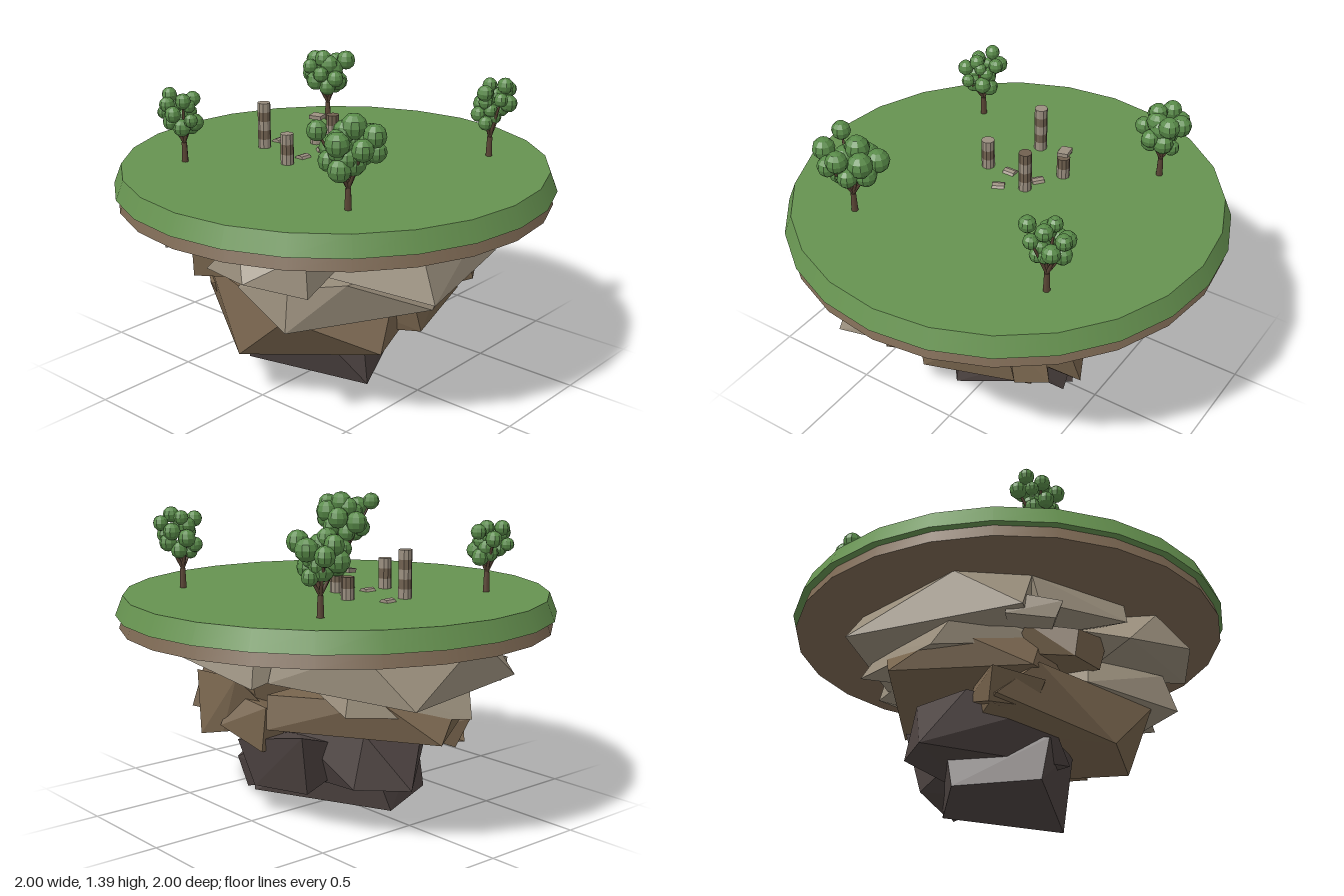
import * as THREE from 'three';
import { ConvexGeometry } from 'three/addons/geometries/ConvexGeometry.js';

const mat = (name, color, flat = false) => {
  const m = new THREE.MeshStandardMaterial({ color, flatShading: flat });
  m.name = name;
  return m;
};

export function createModel() {
  const model = new THREE.Group();
  model.name = 'floatingIsland';
  const grass = mat('grass', 0x669250), dirt = mat('dirt', 0x7c6853);
  const paleRock = mat('paleRock', 0x978c7a, true), brownRock = mat('brownRock', 0x77644d, true);
  const darkRock = mat('darkRock', 0x4d4341, true);
  const bark = mat('bark', 0x5a4535), leaf = mat('leaf', 0x588a48, true);
  const paleStone = mat('paleStone', 0x9b8f80, true), darkStone = mat('darkStone', 0x70604f, true);

  let seed = 11;
  const rand = () => (seed = (seed * 16807) % 2147483647) / 2147483647;
  const add = (parent, name, geo, material, x = 0, y = 0, z = 0) => {
    const m = new THREE.Mesh(geo, material);
    m.name = name;
    m.position.set(x, y, z);
    parent.add(m);
    return m;
  };
  const group = (name) => {
    const g = new THREE.Group();
    g.name = name;
    model.add(g);
    return g;
  };

  // Ground: grass plate over a thinner earth plate
  add(model, 'grassPlate', new THREE.CylinderGeometry(0.965, 1, 0.088, 24), grass, 0, 0.956, 0);
  add(model, 'earthPlate', new THREE.CylinderGeometry(0.965, 0.985, 0.06, 24), dirt, 0, 0.882, 0);

  // Rock slabs: convex hulls of a few corners
  const rocks = group('rocks');
  const slab = (name, material, ...corners) =>
    add(rocks, name, new ConvexGeometry(corners.map((c) => new THREE.Vector3(...c))), material);

  slab('leftPaleSlab', paleRock, [-0.71, 0.855, 0.2], [-0.82, 0.635, -0.28], [-0.6, 0.855, -0.38], [-0.65, 0.64, 0.5],
    [-0.5, 0.855, 0.45], [-0.2, 0.855, -0.5], [-0.2, 0.68, -0.55], [0, 0.74, 0.2]);
  slab('rightPaleSlab', paleRock, [0.73, 0.83, 0.3], [0.825, 0.625, 0.33], [0.66, 0.855, -0.3], [0.72, 0.67, -0.25],
    [0.2, 0.855, 0.45], [0.3, 0.68, 0.5], [0.1, 0.855, -0.3], [0.1, 0.68, -0.3]);
  slab('frontPaleSlab', paleRock, [0.1, 0.85, 0.72], [0.42, 0.84, 0.66], [0.45, 0.66, 0.68], [-0.12, 0.65, 0.7],
    [0.22, 0.705, 0.82], [-0.15, 0.855, 0.2], [0.4, 0.855, 0.1], [0.1, 0.64, 0.3]);
  slab('frontLeftPaleSlab', paleRock, [-0.5, 0.855, 0.45], [-0.52, 0.7, 0.5], [-0.05, 0.855, 0.64], [-0.1, 0.74, 0.68],
    [-0.3, 0.7, 0.2], [0, 0.84, 0.2]);
  slab('backPaleSlab', paleRock, [-0.15, 0.855, -0.58], [-0.18, 0.66, -0.62], [0.15, 0.76, -0.74], [0.2, 0.855, -0.62],
    [0.66, 0.72, -0.42], [0.6, 0.855, -0.35], [-0.3, 0.855, 0.1], [0.4, 0.855, 0.1], [0.1, 0.66, -0.2]);
  slab('lowerRightPaleSlab', paleRock, [-0.05, 0.65, 0.45], [0.3, 0.65, 0.64], [0.46, 0.65, 0.45], [0.63, 0.465, 0.08],
    [-0.14, 0.49, 0.5], [0.33, 0.475, 0.69], [0.55, 0.66, -0.2], [0.45, 0.51, -0.42], [0, 0.68, -0.1]);
  slab('lowerLeftPaleSlab', paleRock, [-0.64, 0.74, 0.2], [-0.75, 0.52, 0.12], [-0.5, 0.72, -0.35], [-0.55, 0.58, -0.42],
    [-0.3, 0.72, 0.4], [-0.35, 0.62, 0.4], [0, 0.7, -0.3]);

  slab('leftBrownSlab', brownRock, [-0.66, 0.62, 0.15], [-0.77, 0.445, -0.08], [-0.58, 0.62, -0.25], [-0.12, 0.45, -0.5],
    [-0.1, 0.6, -0.48], [-0.35, 0.64, 0.4], [-0.45, 0.47, 0.42], [-0.14, 0.5, 0.4], [0, 0.6, 0.1]);
  slab('frontBrownSlab', brownRock, [-0.4, 0.5, 0.42], [-0.54, 0.34, 0.3], [-0.06, 0.215, 0.58], [0.25, 0.48, 0.6],
    [0.54, 0.31, 0.32], [0.5, 0.5, 0.2], [0.4, 0.32, -0.05], [-0.3, 0.5, -0.05], [-0.3, 0.32, 0]);
  slab('rightBrownSlab', brownRock, [0.55, 0.52, 0.12], [0.57, 0.345, 0.08], [0.48, 0.64, -0.3], [0.42, 0.36, -0.4],
    [0.1, 0.66, -0.42], [0.1, 0.36, -0.36], [0, 0.5, 0.3], [0.1, 0.28, 0.2]);
  slab('backBrownSlab', brownRock, [0.1, 0.64, -0.5], [0.18, 0.38, -0.52], [0.36, 0.64, -0.53], [0.28, 0.36, -0.57],
    [0.42, 0.5, -0.3], [0, 0.4, -0.3], [0.3, 0.35, -0.1]);

  slab('leftDarkSlab', darkRock, [-0.47, 0.43, 0.1], [-0.575, 0.19, -0.06], [-0.25, 0.36, 0.36], [-0.07, 0.155, 0.36],
    [-0.42, 0.44, -0.2], [-0.42, 0.2, -0.26], [0, 0.42, -0.3], [0, 0.15, -0.2]);
  slab('bottomDarkSlab', darkRock, [-0.2, 0.25, 0.34], [-0.25, 0.05, 0.33], [-0.4, 0.045, -0.02], [0.29, 0, 0.107],
    [0.25, 0.28, 0.1], [0.1, 0.3, 0.28], [0.08, 0.11, -0.42], [0.1, 0.3, -0.4], [-0.35, 0.3, -0.1]);
  slab('backDarkSlab', darkRock, [-0.24, 0.42, -0.4], [-0.2, 0.14, -0.34], [0.15, 0.34, -0.46], [0.08, 0.13, -0.42],
    [0.25, 0.32, -0.1], [0.2, 0.15, 0], [-0.25, 0.3, 0]);

  // Smaller skewed blocks breaking out of the slabs
  const block = (material, x, y, z, w, h, d, yaw, tilt) => {
    const pts = [];
    for (const i of [-0.5, 0.5]) for (const j of [-0.5, 0.5]) for (const k of [-0.5, 0.5])
      pts.push(new THREE.Vector3((i + (rand() - 0.5) * 0.3) * w, (j + (rand() - 0.5) * 0.3) * h, (k + (rand() - 0.5) * 0.3) * d));
    add(rocks, 'rockBlock', new ConvexGeometry(pts), material, x, y, z).rotation.set(tilt, yaw, tilt * 0.7);
  };
  block(paleRock, -0.44, 0.7, 0.42, 0.28, 0.1, 0.2, 0.6, 0.2);
  block(brownRock, -0.22, 0.63, 0.42, 0.3, 0.14, 0.24, 0.2, 0.2);
  block(brownRock, 0.4, 0.52, -0.36, 0.16, 0.24, 0.16, 0.7, 0.2);
  block(brownRock, 0.1, 0.44, -0.4, 0.2, 0.18, 0.16, 0.3, 0.2);
  block(brownRock, -0.4, 0.4, 0.26, 0.2, 0.12, 0.26, 0.9, 0.2);
  block(darkRock, 0.1, 0.25, -0.3, 0.22, 0.16, 0.2, 0.4, -0.3);

  // Trees: trunk, spreading branches and loosely clustered leaf balls
  const up = new THREE.Vector3(0, 1, 0);
  const limb = (parent, name, a, b, r0, r1) => {
    const dir = b.clone().sub(a), mid = a.clone().add(b).multiplyScalar(0.5);
    const m = add(parent, name, new THREE.CylinderGeometry(r1, r0, dir.length(), 7), bark, mid.x, mid.y, mid.z);
    m.quaternion.setFromUnitVectors(up, dir.normalize());
  };
  const tree = (x, z, rx, rz, low, high, ball, count) => {
    const t = group('tree');
    t.position.set(x, 1, z);
    const fork = new THREE.Vector3(0, 0.09, 0);
    limb(t, 'trunk', new THREE.Vector3(0, -0.01, 0), fork, 0.016, 0.012);
    for (let i = 0; i < count; i++) {
      const f = i / (count - 1), angle = i * 2.4 + x * 3;
      const spread = Math.min(1, 0.5 + 1.1 * f) * (i % 3 === 2 ? 0.35 : 0.8 + 0.25 * rand());
      const r = ball * (0.85 + 0.3 * rand());
      const p = new THREE.Vector3(Math.cos(angle) * (rx - r) * spread, low + r + (high - low - 2 * r) * f,
        Math.sin(angle) * (rz - r) * spread);
      add(t, 'leafBall', new THREE.SphereGeometry(r, 10, 6), leaf, p.x, p.y, p.z).rotation.y = angle;
      if (i % 2 === 0) limb(t, 'branch', fork, p, 0.008, 0.005);
    }
  };
  tree(0.49, 0.48, 0.175, 0.17, 0.13, 0.39, 0.05, 18);
  tree(-0.49, -0.5, 0.145, 0.135, 0.13, 0.36, 0.043, 18);
  tree(0.49, -0.51, 0.11, 0.135, 0.13, 0.37, 0.037, 16);
  tree(-0.49, 0.47, 0.125, 0.12, 0.12, 0.33, 0.035, 16);

  // Ruined columns of alternating drums
  const ruins = group('ruins');
  const column = (x, z, height, drums, topMat, otherMat) => {
    const h = height / drums;
    for (let i = 0; i < drums; i++)
      add(ruins, 'columnDrum', new THREE.CylinderGeometry(0.03, 0.03, h, 10),
        (drums - 1 - i) % 2 ? otherMat : topMat, x, 1 + h * (i + 0.5), z);
  };
  column(-0.38, 0.07, 0.215, 5, paleStone, darkStone);
  column(-0.06, -0.05, 0.19, 4, darkStone, paleStone);
  column(-0.12, 0.19, 0.14, 3, paleStone, darkStone);
  column(-0.24, -0.14, 0.1, 2, darkStone, paleStone);

  // Fallen drums sunk in the grass, and a flat fragment hovering over one column
  const fallen = (x, z, yaw) =>
    add(ruins, 'fallenDrum', new THREE.CylinderGeometry(0.028, 0.028, 0.056, 10).rotateX(Math.PI / 2),
      paleStone, x, 0.988, z).rotation.y = yaw;
  fallen(-0.4, -0.05, 0.1);
  fallen(-0.14, -0.065, 0.9);
  fallen(-0.13, 0.075, 0);
  fallen(-0.01, 0.06, 0.5);
  add(ruins, 'hoveringFragment', new THREE.BoxGeometry(0.064, 0.018, 0.05), paleStone, -0.24, 1.13, -0.145)
    .rotation.set(0.08, 0.17, 0);
  return model;
}
